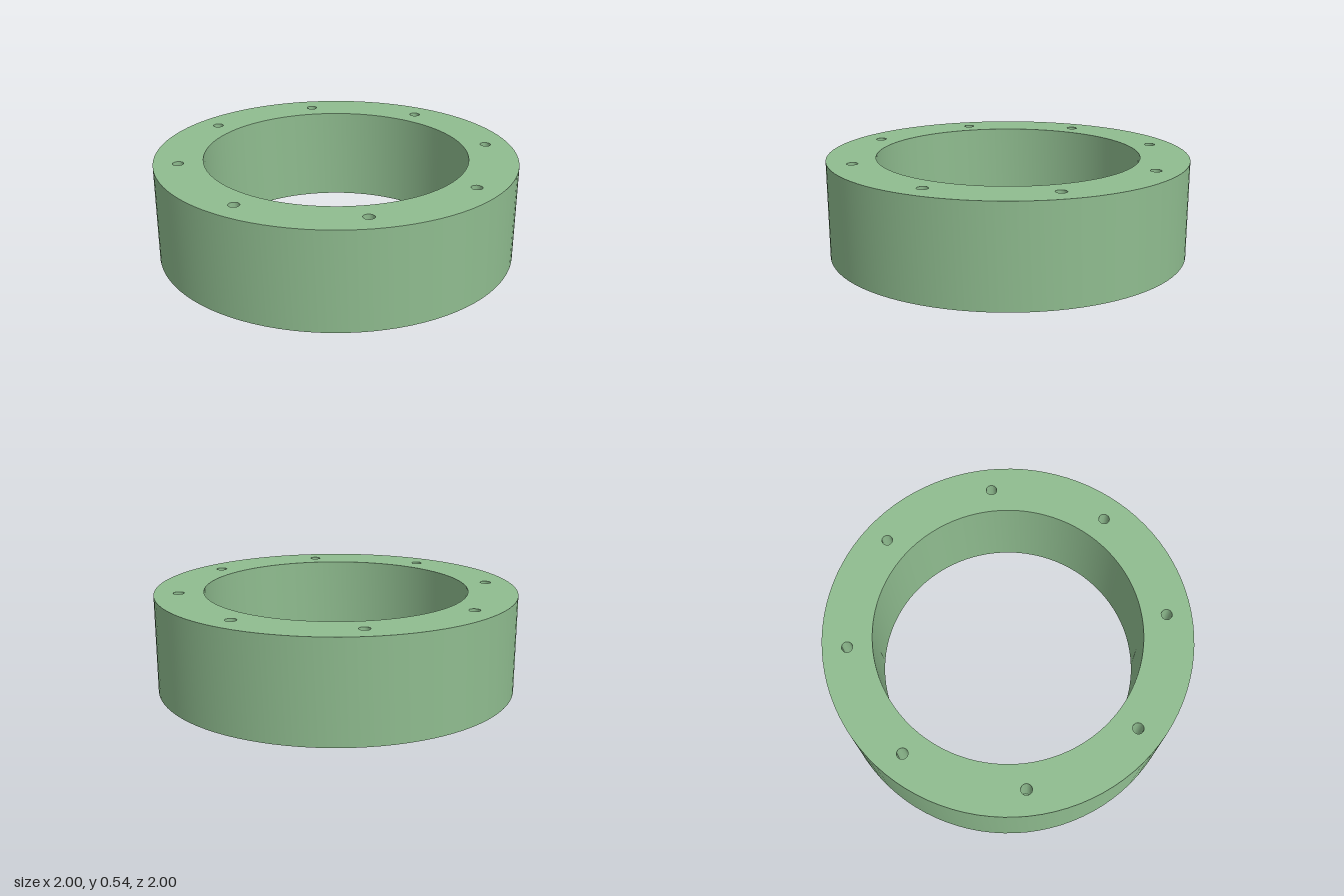
import * as THREE from 'three';
import { toCreasedNormals } from 'three/addons/utils/BufferGeometryUtils.js';

const OUTER = 1, INNER = 0.73, HEIGHT = 0.54, SEGMENTS = 96;
const HOLE_COUNT = 8, HOLE_CIRCLE = 0.865, HOLE_RADIUS = 0.03, HOLE_DEPTH = 0.27, HOLE_SEGMENTS = 24;

const circle = (radius, segments, cx = 0, cy = 0) =>
  Array.from({ length: segments }, (_, i) => {
    const a = (i / segments) * Math.PI * 2;
    return new THREE.Vector2(cx + radius * Math.cos(a), cy + radius * Math.sin(a));
  });

// Revolved profile with sharp corners and smooth curved walls
const turned = (points, segments) =>
  toCreasedNormals(
    new THREE.LatheGeometry(points.map(([r, y]) => new THREE.Vector2(r, y)), segments),
    Math.PI / 6
  );

export function createModel() {
  const group = new THREE.Group();
  group.name = 'drilledRing';
  const material = new THREE.MeshStandardMaterial({ color: 0x8fbc8f });

  const add = (geometry, name) => {
    const mesh = new THREE.Mesh(geometry, material);
    mesh.name = name;
    group.add(mesh);
    return mesh;
  };

  // Bore, underside and outer wall
  add(turned([[INNER, HEIGHT], [INNER, 0], [OUTER, 0], [OUTER, HEIGHT]], SEGMENTS), 'ringBody');

  // Top face, pierced by the bore and the bolt holes
  const face = new THREE.Shape(circle(OUTER, SEGMENTS));
  face.holes.push(new THREE.Path(circle(INNER, SEGMENTS)));

  // Blind bolt holes: wall and flat floor
  const holeGeometry = turned(
    [[HOLE_RADIUS, 0], [HOLE_RADIUS, -HOLE_DEPTH], [0, -HOLE_DEPTH]],
    HOLE_SEGMENTS
  );
  for (let i = 0; i < HOLE_COUNT; i++) {
    const a = (i / HOLE_COUNT) * Math.PI * 2;
    const x = HOLE_CIRCLE * Math.cos(a), z = HOLE_CIRCLE * Math.sin(a);
    face.holes.push(new THREE.Path(circle(HOLE_RADIUS, HOLE_SEGMENTS, x, -z)));
    add(holeGeometry, `boltHole${i + 1}`).position.set(x, HEIGHT, z);
  }

  const top = new THREE.ShapeGeometry(face);
  top.rotateX(-Math.PI / 2);
  add(top, 'topFace').position.y = HEIGHT;

  return group;
}
